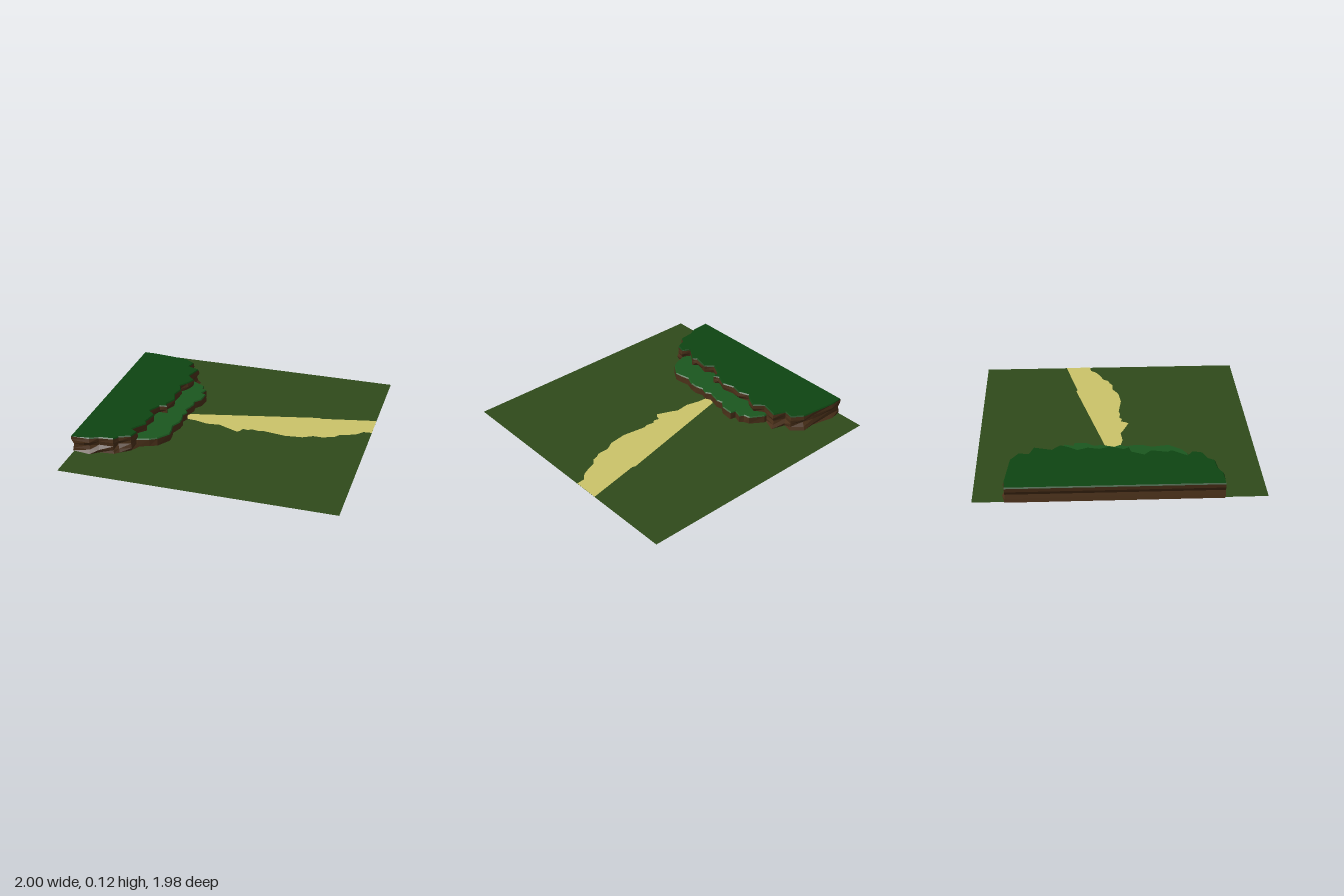
import * as THREE from 'three';

// Outlines as x, z pairs seen from above
const UPPER = [-1, -0.77, -0.9, -0.775, -0.72, -0.755, -0.63, -0.745, -0.55, -0.69, -0.565, -0.62,
  -0.475, -0.585, -0.51, -0.46, -0.45, -0.4, -0.48, -0.335, -0.52, -0.28, -0.49, -0.21, -0.51, -0.13,
  -0.48, -0.045, -0.52, 0.04, -0.5, 0.08, -0.555, 0.09, -0.6, 0.18, -0.545, 0.23, -0.57, 0.345,
  -0.55, 0.375, -0.625, 0.48, -0.57, 0.515, -0.59, 0.585, -0.67, 0.62, -0.695, 0.66, -0.8, 0.67,
  -0.86, 0.7, -1, 0.7];
const LOWER = [-0.65, -0.48, -0.48, -0.495, -0.38, -0.435, -0.37, -0.39, -0.34, -0.37, -0.36, -0.31,
  -0.32, -0.3, -0.325, -0.21, -0.365, -0.16, -0.355, -0.115, -0.37, -0.06, -0.385, -0.02, -0.36, 0.02,
  -0.38, 0.07, -0.365, 0.125, -0.365, 0.18, -0.395, 0.25, -0.38, 0.32, -0.375, 0.37, -0.44, 0.46,
  -0.49, 0.49, -0.57, 0.515, -0.68, 0.48];
const PATH = [-0.39, -0.02, -0.365, -0.06, 0.58, -0.277, 0.6, -0.268, 1, -0.352, 1, -0.16, 0.94, -0.155,
  0.9, -0.11, 0.84, -0.08, 0.78, -0.06, 0.75, -0.02, 0.71, -0.01, 0.68, 0.01, 0.6, 0.01, 0.53, 0.05,
  0.4, 0.065, 0.23, 0.04, 0.2, 0.05, 0.14, 0.04, 0.12, 0.06, 0.08, 0.05, 0.07, 0.08, 0.05, 0.105,
  -0.06, 0.06, -0.1, 0.04, -0.2, 0.05, -0.3, 0.025, -0.36, 0.02];

const toPoints = (flat) => {
  const pts = [];
  for (let i = 0; i < flat.length; i += 2) pts.push(new THREE.Vector2(flat[i], flat[i + 1]));
  return pts;
};

const material = (color) => new THREE.MeshStandardMaterial({
  color, flatShading: true, roughness: 1, side: THREE.DoubleSide });

function addMesh(parent, name, geometry, color) {
  const mesh = new THREE.Mesh(geometry, material(color));
  mesh.name = name;
  parent.add(mesh);
  return mesh;
}

// Horizontal face filling an outline at height y
function flatFace(pts, y) {
  const shape = new THREE.Shape(pts.map((p) => new THREE.Vector2(p.x, -p.y)));
  return new THREE.ShapeGeometry(shape).rotateX(-Math.PI / 2).translate(0, y, 0);
}

// Push an outline outwards by a per-point amount
function offset(pts, amount, minX = -1) {
  const n = pts.length;
  return pts.map((p, i) => {
    const t = pts[(i + 1) % n].clone().sub(pts[(i + n - 1) % n]).normalize();
    const d = amount(i);
    return new THREE.Vector2(Math.max(minX, p.x + t.y * d), p.y - t.x * d);
  });
}

// Wall joining stacked rings of { pts, y }
function wall(rings) {
  const pos = [];
  for (let r = 0; r < rings.length - 1; r++) {
    const lo = rings[r], hi = rings[r + 1], n = lo.pts.length;
    for (let i = 0; i < n; i++) {
      const j = (i + 1) % n;
      const a = [lo.pts[i].x, lo.y, lo.pts[i].y], b = [lo.pts[j].x, lo.y, lo.pts[j].y];
      const c = [hi.pts[j].x, hi.y, hi.pts[j].y], d = [hi.pts[i].x, hi.y, hi.pts[i].y];
      pos.push(...a, ...d, ...b, ...b, ...d, ...c);
    }
  }
  const g = new THREE.BufferGeometry();
  g.setAttribute('position', new THREE.Float32BufferAttribute(pos, 3));
  g.computeVertexNormals();
  return g;
}

// Rock tier: rough earth wall, grassy rim and grass top
function tier(name, pts, height, layers, grass) {
  const group = new THREE.Group();
  group.name = name;
  const rimY = height - 0.008;
  const rings = layers.map(({ y, out, rough, minX }, k) => ({
    y, pts: offset(pts, (i) => out + rough * Math.sin(i * 2.4 + k * 1.9), minX) }));
  rings.push({ y: rimY, pts });
  const top = offset(pts, () => -0.007, -0.994);
  addMesh(group, 'earthWall', wall(rings), 0x4a3019);
  addMesh(group, 'grassRim', wall([{ y: rimY, pts }, { y: height, pts: top }]), grass);
  addMesh(group, 'grassTop', flatFace(top, height), grass);
  return group;
}

export function createModel() {
  const model = new THREE.Group();
  model.name = 'terrainTile';

  // Ground sheet and sandy path
  const ground = new THREE.PlaneGeometry(1.98, 1.98).rotateX(-Math.PI / 2).translate(0.01, 0, 0);
  addMesh(model, 'ground', ground, 0x2f4a1b);
  addMesh(model, 'path', flatFace(toPoints(PATH), 0.002), 0xcbc469);

  // Stepped cliff
  model.add(tier('upperCliff', toPoints(UPPER), 0.12, [
    { y: 0, out: 0.008, rough: 0.012, minX: -0.99 },
    { y: 0.025, out: 0.003, rough: 0.01, minX: -0.985 },
    { y: 0.055, out: -0.008, rough: 0.008, minX: -0.978 },
    { y: 0.085, out: 0.002, rough: 0.006, minX: -0.997 },
  ], 0x0e4512));
  model.add(tier('lowerCliff', toPoints(LOWER), 0.06, [
    { y: 0, out: 0, rough: 0.003 },
  ], 0x1b571f));
  return model;
}
